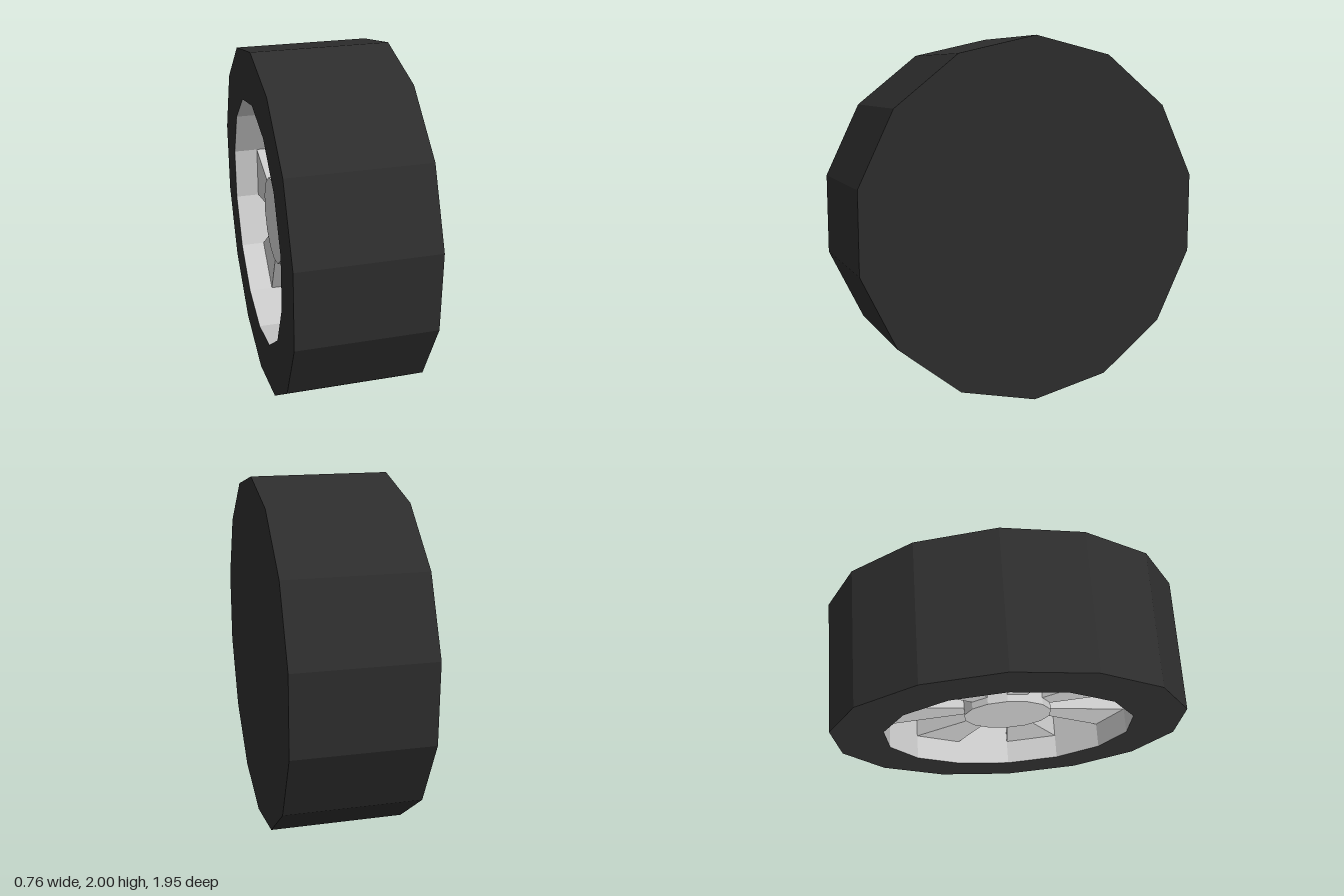
import * as THREE from 'three';

const SIDES = 14;
const SPOKES = 7;
const HALF = 0.378;        // half the tyre width
const RIM_R = 0.706;       // radius of the wheel opening
const HUB_R = 0.25;
const RIM_DEPTH = 0.288;   // depth of the recess
const HUB_DEPTH = 0.1;     // hub cap set back from the open face
const SPOKE_DEPTH = 0.14;  // spoke fronts set back from the open face

export function createModel() {
  const group = new THREE.Group();
  const rubber = new THREE.MeshStandardMaterial({ color: 0x2d2d2d, flatShading: true });
  const metal = new THREE.MeshStandardMaterial({ color: 0xcccccc, flatShading: true });
  const inside = metal.clone();
  inside.side = THREE.BackSide;

  // The wheel is turned about the x axis, with its open face towards -x
  const add = (name, geometry, material) => {
    const mesh = new THREE.Mesh(geometry, material);
    mesh.name = name;
    mesh.position.y = 1;
    group.add(mesh);
    return mesh;
  };
  const turned = (points) => new THREE.LatheGeometry(
    points.map(([r, y]) => new THREE.Vector2(r, y)), SIDES, Math.PI / 2
  ).rotateZ(Math.PI / 2);

  // Tyre: closed inner side, tread and open side wall
  add('tyre', turned([[0, -HALF], [1, -HALF], [1, HALF], [RIM_R, HALF]]), rubber);

  // Dark floor at the bottom of the recess
  const floor = HALF - RIM_DEPTH;
  add('recessFloor', turned([[RIM_R, floor], [0, floor]]), rubber);

  // Rim barrel, seen from within
  add('rim', turned([[RIM_R, floor], [RIM_R, HALF]]), inside);

  // Hub
  add('hub', turned([[HUB_R, floor], [HUB_R, HALF - HUB_DEPTH], [0, HALF - HUB_DEPTH]]), metal);

  // Wedge spokes, each one rim segment wide
  for (let i = 0; i < SPOKES; i++) {
    const a = (i / SPOKES) * Math.PI * 2;
    const b = a + (Math.PI * 2) / SIDES;
    const at = (r, t) => new THREE.Vector2(r * Math.sin(t), r * Math.cos(t));
    const shape = new THREE.Shape([
      at(HUB_R * 0.9, a), at(RIM_R, a), at(RIM_R, b), at(HUB_R * 0.9, b),
    ]);
    const geometry = new THREE.ExtrudeGeometry(shape, {
      depth: RIM_DEPTH - SPOKE_DEPTH, bevelEnabled: false,
    });
    geometry.translate(0, 0, floor).rotateY(-Math.PI / 2);
    add('spoke' + (i + 1), geometry, metal);
  }
  return group;
}
